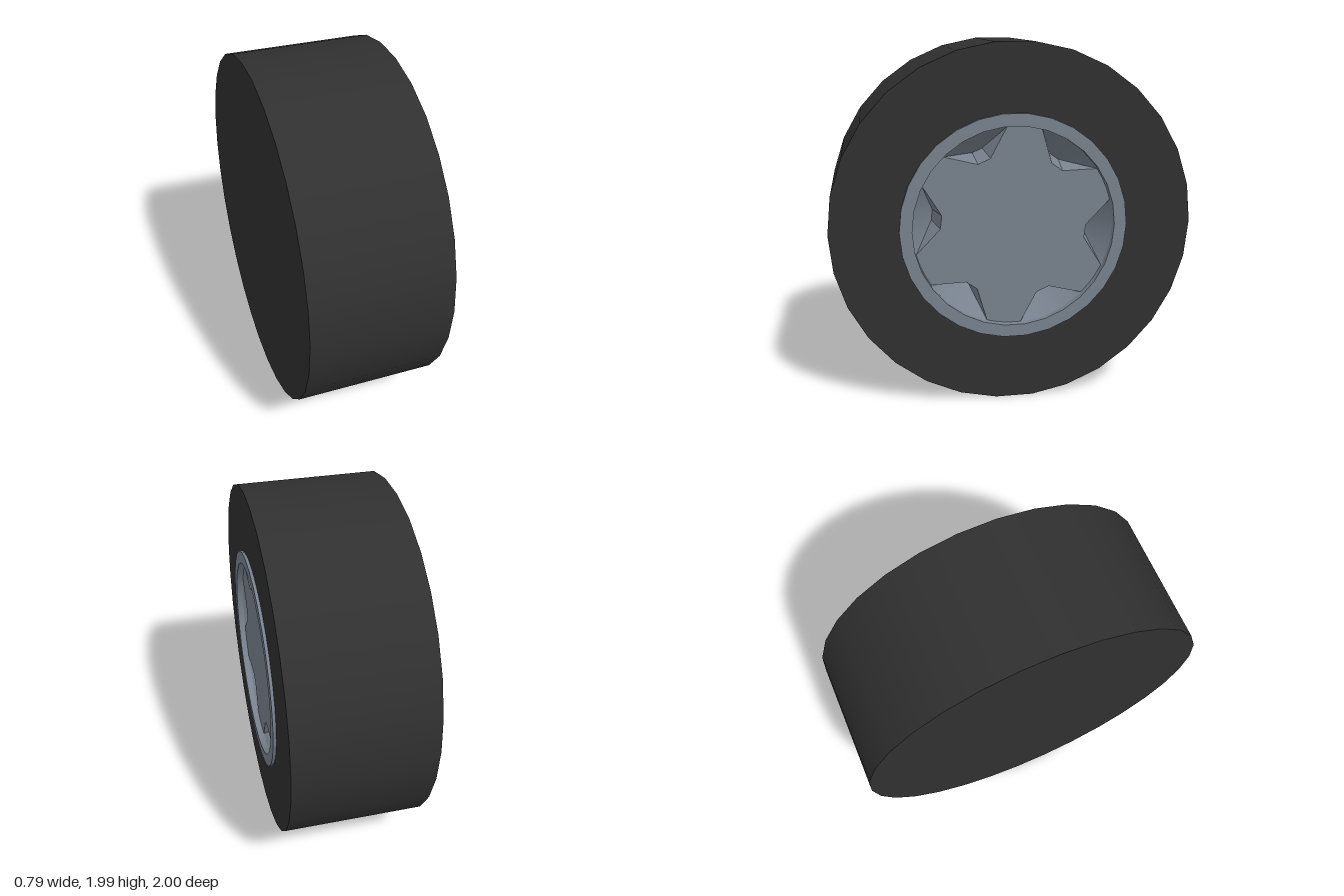
import * as THREE from 'three';
import { mergeGeometries } from 'three/addons/utils/BufferGeometryUtils.js';

const SIDES = 30, CENTRE_Y = 0.995;
const PLATE_X = 0.355, DEPTH = 0.17, TIP_R = 0.554;

// Turned surface around the x axis from [radius, x] points, sharp at each profile point
function turned(profile) {
  const bands = [];
  for (let i = 0; i + 1 < profile.length; i++) {
    const pair = [profile[i], profile[i + 1]].map(([r, x]) => new THREE.Vector2(r, x));
    bands.push(new THREE.LatheGeometry(pair, SIDES));
  }
  return mergeGeometries(bands).rotateZ(-Math.PI / 2);
}

function polar(degrees, radius, z = 0) {
  const a = THREE.MathUtils.degToRad(degrees);
  return new THREE.Vector3(radius * Math.cos(a), radius * Math.sin(a), z);
}

export function createModel() {
  const rubber = new THREE.MeshStandardMaterial({ color: 0x303030 });
  rubber.name = 'dark rubber';
  const metal = new THREE.MeshStandardMaterial({ color: 0x78828e });
  metal.name = 'grey metal';

  const wheel = new THREE.Group();
  wheel.name = 'wheel';
  wheel.position.y = CENTRE_Y;
  const add = (name, geometry, material) => {
    const mesh = new THREE.Mesh(geometry, material);
    mesh.name = name;
    wheel.add(mesh);
  };

  // Tyre with a closed back and an open centre at the hub side
  add('tyre', turned([[0, -0.395], [1, -0.395], [1, 0.375], [0.6, 0.375]]), rubber);

  // Raised rim ring, and the sloping bowl seen through the pockets
  add('rim', turned([[0.627, 0.37], [0.627, 0.392], [0.558, 0.392], [0.558, PLATE_X]]), metal);
  add('pocketBowl', turned([[0.558, PLATE_X], [0.44, PLATE_X - DEPTH], [0.36, PLATE_X - DEPTH]]), metal);

  // Star-shaped hub plate with six notches and their tapering walls
  const outline = [], walls = [];
  for (let i = 0; i < 6; i++) {
    const c = 54 + i * 60;
    const [o0, o1, o2, o3] = [[-20, TIP_R], [-5.3, 0.404], [5.3, 0.404], [20, TIP_R]]
      .map(([a, r]) => polar(c + a, r));
    const d1 = polar(c - 4, 0.44, -DEPTH), d2 = polar(c + 4, 0.44, -DEPTH);
    outline.push(o0, o1, o2, o3, polar(c + 27, TIP_R), polar(c + 33, TIP_R));
    walls.push(o0, d1, o1, o1, d1, d2, o1, d2, o2, o2, d2, o3);
  }
  const plate = new THREE.ShapeGeometry(new THREE.Shape(outline.map(p => new THREE.Vector2(p.x, p.y))));
  add('hubPlate', plate.rotateY(Math.PI / 2).translate(PLATE_X, 0, 0), metal);

  const wallGeometry = new THREE.BufferGeometry().setFromPoints(walls);
  wallGeometry.computeVertexNormals();
  add('pocketWalls', wallGeometry.rotateY(Math.PI / 2).translate(PLATE_X, 0, 0), metal);

  const model = new THREE.Group();
  model.name = 'wheelModel';
  model.add(wheel);
  return model;
}
